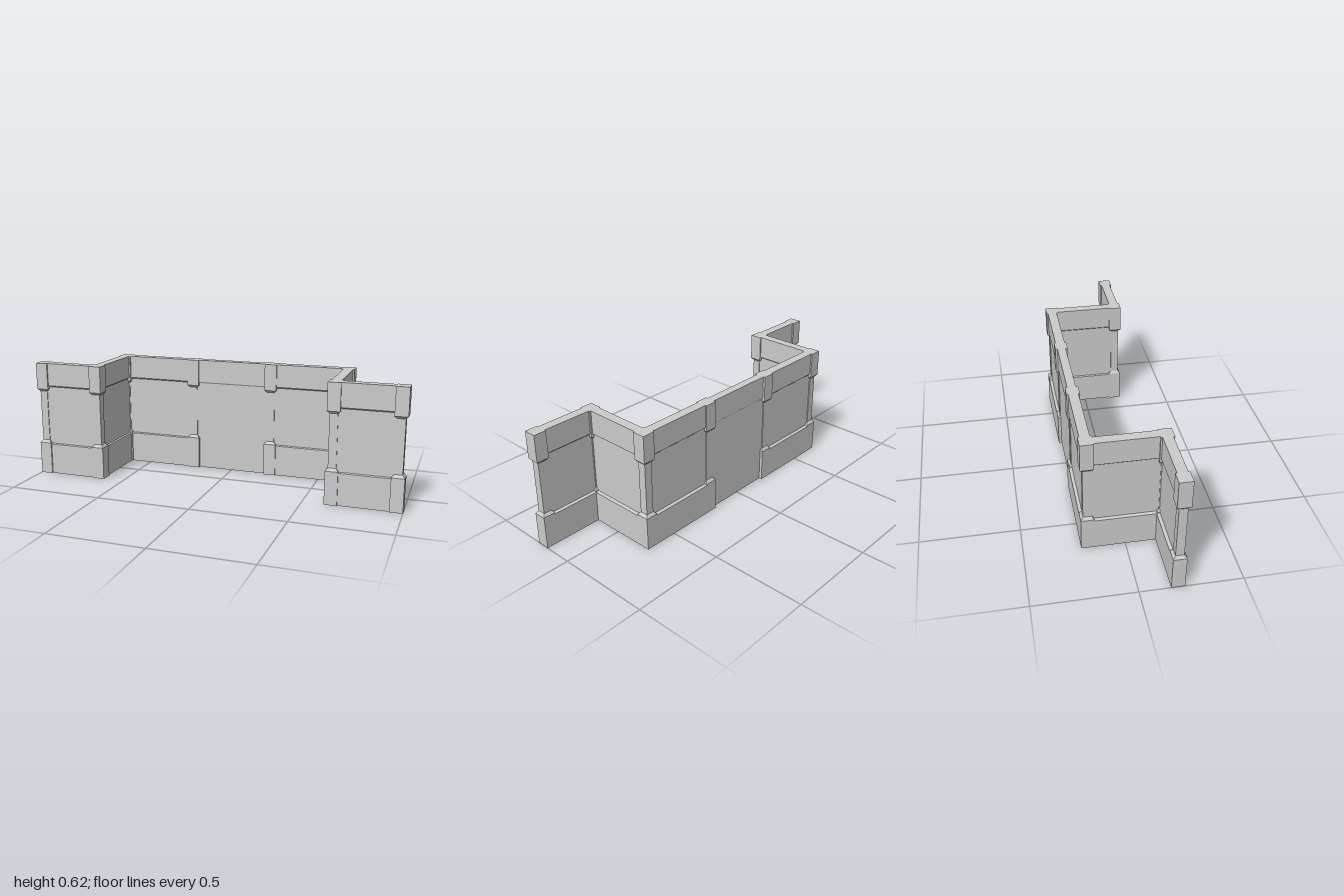
import * as THREE from 'three';

const material = new THREE.MeshStandardMaterial({ color: 0xcccccc, flatShading: true });
const HEIGHT = 0.623;

// Square pillar: wide base and head, bevelled into a slimmer shaft
function pillarGeometry() {
  const profile = [
    [0, 0], [0.033, 0], [0.033, 0.175], [0.021, 0.19],
    [0.021, 0.467], [0.033, 0.48], [0.033, HEIGHT], [0, HEIGHT],
  ].map(([half, y]) => new THREE.Vector2(half * Math.SQRT2, y));
  return new THREE.LatheGeometry(profile, 4, Math.PI / 4);
}

// Wall section swept along its length; +x of the profile is the outer side
function wallGeometry(length, hasPlinth) {
  const panel = 0.017;
  const band = hasPlinth ? 0.025 : 0.022;
  const points = [];
  if (hasPlinth) points.push([-0.026, 0], [0.033, 0], [0.033, 0.168], [panel, 0.172]);
  else points.push([-panel, 0], [panel, 0]);
  points.push(
    [panel, 0.493], [band, 0.5], [band, HEIGHT],
    [-band, HEIGHT], [-band, 0.5], [-panel, 0.493],
  );
  if (hasPlinth) points.push([-panel, 0.172], [-0.026, 0.168]);
  const shape = new THREE.Shape(points.map(([x, y]) => new THREE.Vector2(x, y)));
  const geometry = new THREE.ExtrudeGeometry(shape, { depth: length, bevelEnabled: false });
  return geometry.translate(0, 0, -length / 2);
}

export function createModel() {
  const group = new THREE.Group();
  group.name = 'parapetWall';
  const Z = 0.185;

  function add(name, geometry, x, z, turn = 0) {
    const mesh = new THREE.Mesh(geometry, material);
    mesh.name = name;
    mesh.position.set(x, 0, z);
    mesh.rotation.y = turn;
    group.add(mesh);
  }

  const pillar = pillarGeometry();
  const END = 0.967, CORNER = 0.645, MID = 0.2255;
  const frontWall = wallGeometry(END - CORNER, true);
  const sideWall = wallGeometry(2 * Z, true);
  const backWall = wallGeometry(CORNER - MID, true);

  for (const s of [-1, 1]) {
    const side = s > 0 ? 'left' : 'right';
    // Pillars
    add(side + 'EndPillar', pillar, s * END, Z);
    add(side + 'FrontCornerPillar', pillar, s * CORNER, Z);
    add(side + 'BackCornerPillar', pillar, s * CORNER, -Z);
    add(side + 'MiddlePillar', pillar, s * MID, -Z);
    // Wall runs between the pillars
    add(side + 'FrontWall', frontWall, s * (END + CORNER) / 2, Z, Math.PI / 2);
    add(side + 'SideWall', sideWall, s * CORNER, 0, s > 0 ? 0 : Math.PI);
    add(side + 'BackWall', backWall, s * (CORNER + MID) / 2, -Z, Math.PI / 2);
  }

  // Plain centre section without a plinth
  add('centreWall', wallGeometry(2 * MID, false), 0, -Z, Math.PI / 2);
  return group;
}
